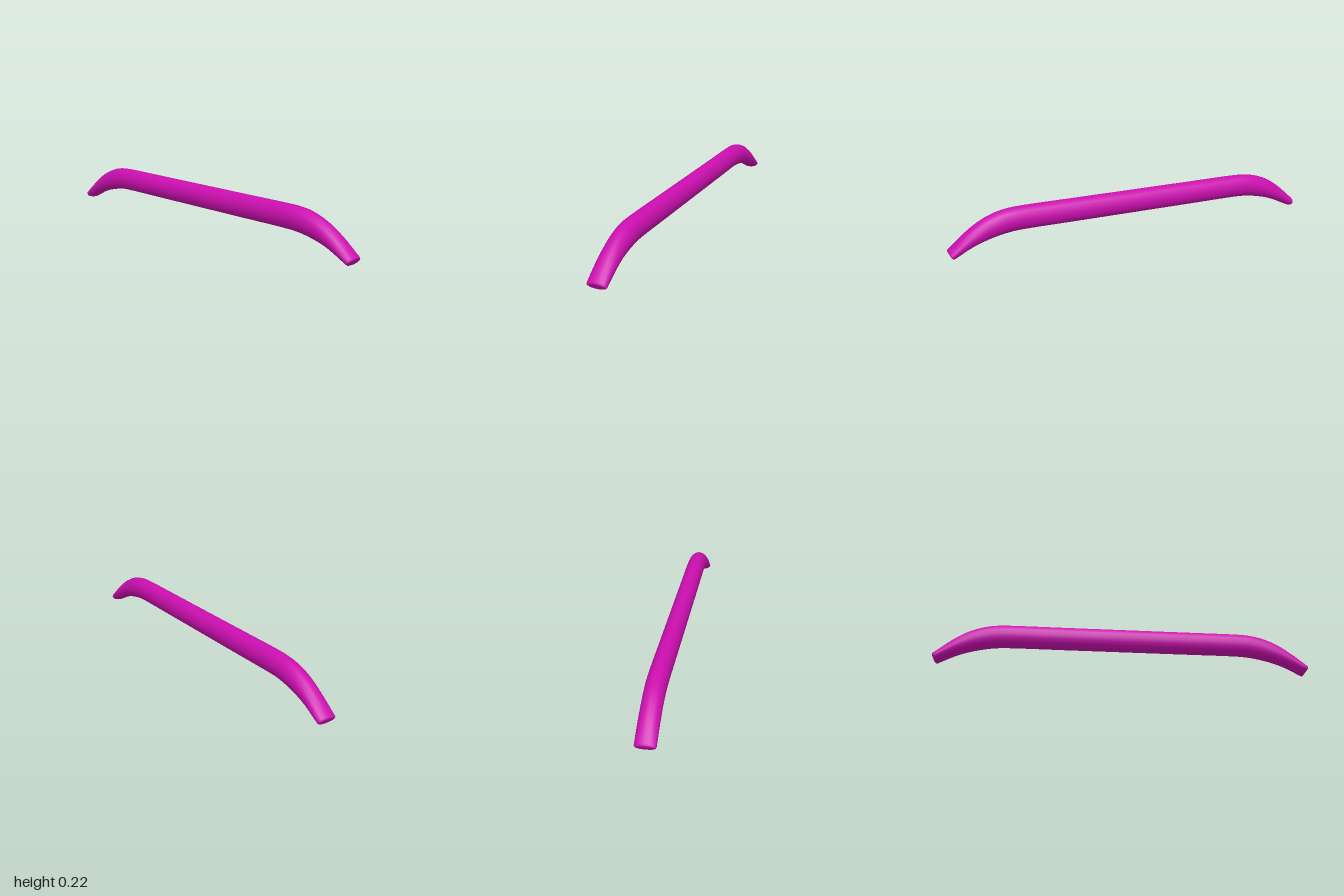
import * as THREE from 'three';

const SIDES = 16;

// Half of the bar, centre to tip: x, y of the centre line and half height
const HALF = [
  [0.30, 0.163, 0.062], [0.60, 0.163, 0.062], [0.66, 0.161, 0.062], [0.72, 0.153, 0.061],
  [0.80, 0.130, 0.055], [0.88, 0.092, 0.043], [0.983, 0.025, 0.025],
];

function createSections() {
  const points = [
    ...HALF.map(([x, y, h]) => new THREE.Vector3(-x, y, h)).reverse(),
    ...HALF.map(([x, y, h]) => new THREE.Vector3(x, y, h)),
  ];
  const curve = new THREE.CatmullRomCurve3(points, false, 'centripetal');
  const sections = [];
  const steps = 72;
  for (let i = 0; i <= steps; i++) {
    const p = curve.getPointAt(i / steps);
    const t = curve.getTangentAt(i / steps);
    const angle = Math.atan2(t.y, t.x);
    sections.push({ x: p.x, y: p.y, h: p.z, w: 0.0505, angle });
  }
  // Narrower rings just past each tip round off the rim
  const bevel = (s, dir, out, shrinkH, shrinkW) => ({
    ...s,
    x: s.x + dir * out * Math.cos(s.angle),
    y: s.y + dir * out * Math.sin(s.angle),
    h: s.h - shrinkH,
    w: s.w - shrinkW,
  });
  const first = sections[0], last = sections[steps];
  sections.unshift(bevel(first, -1, 0.009, 0.006, 0.007), bevel(first, -1, 0.006, 0.002, 0.002));
  sections.push(bevel(last, 1, 0.006, 0.002, 0.002), bevel(last, 1, 0.009, 0.006, 0.007));
  return sections;
}

function ringPoint(s, j) {
  const a = (j / SIDES) * Math.PI * 2;
  const up = s.h * Math.cos(a);
  return [s.x - up * Math.sin(s.angle), s.y + up * Math.cos(s.angle), s.w * Math.sin(a)];
}

function createBarGeometry() {
  const sections = createSections();
  const position = [], index = [];
  for (const s of sections) for (let j = 0; j < SIDES; j++) position.push(...ringPoint(s, j));
  for (let i = 0; i < sections.length - 1; i++) {
    for (let j = 0; j < SIDES; j++) {
      const a = i * SIDES + j, b = i * SIDES + ((j + 1) % SIDES);
      index.push(a, b, a + SIDES, b, b + SIDES, a + SIDES);
    }
  }
  // Flat end caps with their own vertices, so the edge stays crisp
  for (const [s, atEnd] of [[sections[0], false], [sections[sections.length - 1], true]]) {
    const centre = position.length / 3;
    position.push(s.x, s.y, 0);
    for (let j = 0; j < SIDES; j++) position.push(...ringPoint(s, j));
    for (let j = 0; j < SIDES; j++) {
      const a = centre + 1 + j, b = centre + 1 + ((j + 1) % SIDES);
      if (atEnd) index.push(centre, a, b);
      else index.push(centre, b, a);
    }
  }
  const geometry = new THREE.BufferGeometry();
  geometry.setAttribute('position', new THREE.Float32BufferAttribute(position, 3));
  geometry.setIndex(index);
  geometry.computeVertexNormals();
  return geometry;
}

export function createModel() {
  const group = new THREE.Group();
  group.name = 'handle';
  const bar = new THREE.Mesh(
    createBarGeometry(),
    new THREE.MeshStandardMaterial({ color: 0xcc0fb0 }),
  );
  bar.name = 'handleBar';
  group.add(bar);
  return group;
}
